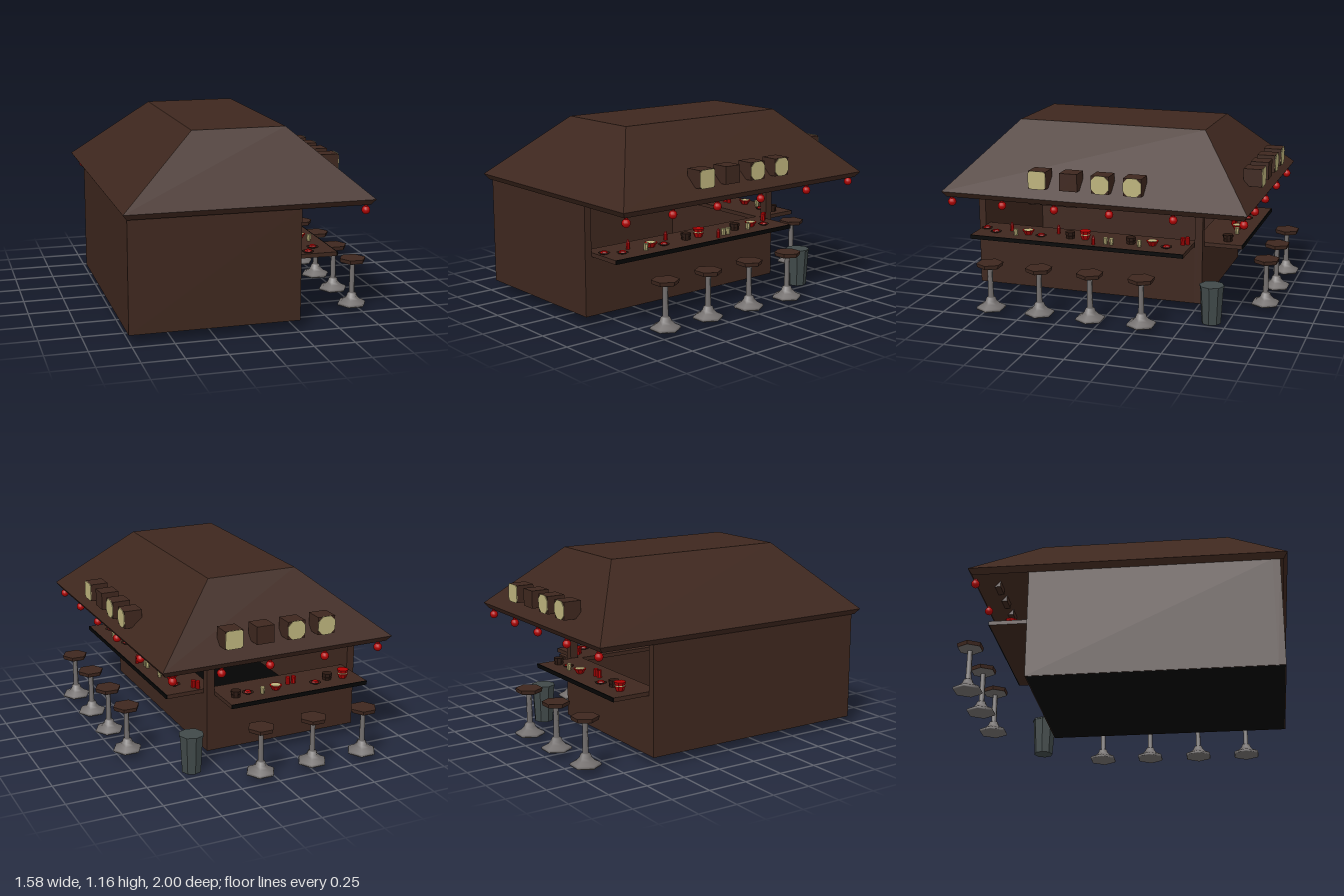
import * as THREE from 'three';

const mat = (name, color, side = THREE.FrontSide) => {
  const m = new THREE.MeshStandardMaterial({ color, side });
  m.name = name;
  return m;
};

export function createModel() {
  const root = new THREE.Group();
  root.name = 'foodStall';
  const wood = mat('dark wood', 0x3e271e, THREE.DoubleSide);
  const black = mat('black trim', 0x040404);
  const red = mat('red', 0xb30202);
  const cream = mat('cream', 0xbdb37c);
  const metal = mat('grey metal', 0x716d6c);
  const slate = mat('slate bin', 0x404949);
  const blue = mat('blue glass', 0x4fbbe2);
  const darkDish = mat('dark dish', 0x2a1811);

  const add = (parent, name, geo, material, x = 0, y = 0, z = 0) => {
    const m = new THREE.Mesh(geo, material);
    m.name = name;
    m.position.set(x, y, z);
    parent.add(m);
    return m;
  };
  // Box given by its limits on each axis
  const box = (name, material, x0, x1, y0, y1, z0, z1) =>
    add(root, name, new THREE.BoxGeometry(x1 - x0, y1 - y0, z1 - z0), material,
      (x0 + x1) / 2, (y0 + y1) / 2, (z0 + z1) / 2);
  // Faceted upright cylinder standing on y, with a corner on the x axis
  const prism = (parent, name, material, rTop, rBottom, h, sides, x, y, z) => {
    const g = new THREE.CylinderGeometry(rTop, rBottom, h, sides).toNonIndexed();
    g.rotateY(Math.PI / 2);
    g.computeVertexNormals();
    return add(parent, name, g, material, x, y + h / 2, z);
  };
  // Smooth six-sided turning from [radius, y] points, bottom to top
  const turned = (parent, name, material, points) =>
    add(parent, name, new THREE.LatheGeometry(
      points.map((p) => new THREE.Vector2(...p)), 6, Math.PI / 2), material);

  // Hut: black floor, two full walls, two low walls, corner post
  box('floor', black, -0.755, 0.265, 0.055, 0.07, -0.545, 0.95);
  box('frontWall', wood, -0.76, 0.27, 0.056, 0.74, 0.91, 0.955);
  box('closedSideWall', wood, -0.76, -0.71, 0.056, 0.74, -0.55, 0.91);
  box('lowSideWall', wood, 0.22, 0.27, 0.056, 0.42, -0.5, 0.91);
  box('lowBackWall', wood, -0.71, 0.22, 0.056, 0.42, -0.55, -0.5);
  box('cornerPost', wood, 0.22, 0.27, 0.056, 0.74, -0.55, -0.5);
  box('tankShelf', wood, -0.71, -0.46, 0.4, 0.42, 0.55, 0.91);

  // Hipped roof, open underneath: stacked rectangles joined by flat faces
  const rings = [
    [-0.765, 0.685, -0.895, 0.975, 0.735],
    [-0.79, 0.71, -0.92, 1.0, 0.77],
    [-0.31, 0.265, -0.555, 0.645, 1.165],
  ].map(([x0, x1, z0, z1, y]) => [[x0, y, z1], [x1, y, z1], [x1, y, z0], [x0, y, z0]]);
  const pos = [];
  const quad = (a, b, c, d) => pos.push(...a, ...b, ...c, ...a, ...c, ...d);
  for (let r = 0; r < 2; r++) {
    for (let i = 0; i < 4; i++) {
      const j = (i + 1) % 4;
      quad(rings[r][i], rings[r][j], rings[r + 1][j], rings[r + 1][i]);
    }
  }
  quad(...rings[2]);
  const roofGeo = new THREE.BufferGeometry();
  roofGeo.setAttribute('position', new THREE.Float32BufferAttribute(pos, 3));
  roofGeo.computeVertexNormals();
  add(root, 'roof', roofGeo, wood);
  box('roofInnerPanel', black, -0.308, 0.263, 1.153, 1.161, -0.553, 0.643);

  // Counters with black outer edges
  box('sideCounter', wood, 0.2, 0.505, 0.42, 0.445, -0.49, 0.91);
  box('sideCounterEdge', black, 0.505, 0.512, 0.42, 0.445, -0.49, 0.91);
  box('backCounter', wood, -0.71, 0.22, 0.42, 0.445, -0.785, -0.48);
  box('backCounterEdge', black, -0.71, 0.22, 0.42, 0.445, -0.792, -0.785);

  // Stools
  const stool = (x, z) => {
    const s = new THREE.Group();
    s.name = 'stool';
    s.position.set(x, 0, z);
    root.add(s);
    turned(s, 'stoolBase', metal, [[0, 0.037], [0.088, 0.037], [0.093, 0.045], [0.088, 0.055],
      [0.052, 0.073], [0.036, 0.09], [0.028, 0.112], [0.018, 0.116], [0.016, 0.306]]);
    turned(s, 'seatUnderside', metal, [[0.016, 0.3], [0.035, 0.304], [0.074, 0.31], [0.078, 0.314]]);
    prism(s, 'seat', wood, 0.084, 0.079, 0.024, 6, 0, 0.313, 0);
  };
  for (const z of [0.695, 0.37, 0.04, -0.285]) stool(0.694, z);
  for (const x of [-0.61, -0.26, 0.09]) stool(x, -0.92);

  // Bin
  prism(root, 'bin', slate, 0.074, 0.061, 0.235, 8, 0.42, 0, -0.65);
  prism(root, 'binRim', slate, 0.078, 0.078, 0.01, 8, 0.42, 0.232, -0.65);

  // Round lanterns under the eaves
  const lantern = (x, z) => {
    add(root, 'lantern', new THREE.SphereGeometry(0.026, 12, 8), red, x, 0.7, z);
    prism(root, 'lanternCap', red, 0.012, 0.012, 0.012, 8, x, 0.72, z);
  };
  for (const z of [0.95, 0.615, 0.275, -0.075, -0.47]) lantern(0.665, z);
  for (const x of [0.637, 0.333, 0.02, -0.345, -0.715]) lantern(x, -0.885);

  // Box signs on the roof, three with a cream panel; local +z faces outward
  const signRow = (name, place) => {
    for (let i = 0; i < 4; i++) {
      const g = new THREE.Group();
      g.name = name;
      place(g, i);
      root.add(g);
      add(g, 'signBox', new THREE.BoxGeometry(0.112, 0.108, 0.112), wood);
      if (i === 1) continue;
      const c = i === 0 ? 0.014 : 0.03, h = 0.056;
      const s = new THREE.Shape([[-h, c - h], [c - h, -h], [h - c, -h], [h, c - h],
        [h, h - c], [h - c, h], [c - h, h], [-h, h - c]].map((p) => new THREE.Vector2(...p)));
      add(g, 'signPanel', new THREE.ExtrudeGeometry(s, { depth: 0.004, bevelEnabled: false }),
        cream, 0, 0, 0.056);
    }
  };
  signRow('sideSign', (g, i) => {
    g.position.set(0.632, 0.882, 0.374 - 0.2 * i);
    g.rotation.y = Math.PI / 2;
  });
  signRow('backSign', (g, i) => {
    g.position.set(0.27 - 0.2 * i, 0.905, -0.865);
    g.rotation.y = Math.PI;
  });

  // Water tanks inside, flat side to the counter
  for (const z of [0.81, 0.645]) {
    prism(root, 'tank', blue, 0.067, 0.067, 0.14, 6, -0.55, 0.42, z).rotation.y = Math.PI / 6;
    prism(root, 'tankLid', blue, 0.055, 0.067, 0.014, 6, -0.55, 0.56, z).rotation.y = Math.PI / 6;
  }

  // Tableware, standing on the counter top
  const top = 0.445;
  const tableware = {
    bowl(x, z) {
      prism(root, 'bowl', red, 0.04, 0.02, 0.03, 8, x, top, z);
      prism(root, 'bowlFood', cream, 0.03, 0.03, 0.003, 8, x, top + 0.029, z);
    },
    tallBowl(x, z) {
      prism(root, 'lowerBowl', red, 0.035, 0.022, 0.03, 8, x, top, z);
      prism(root, 'bowlBand', cream, 0.032, 0.032, 0.006, 8, x, top + 0.03, z);
      prism(root, 'upperBowl', red, 0.037, 0.03, 0.02, 8, x, top + 0.036, z);
    },
    plate(x, z) {
      prism(root, 'plate', darkDish, 0.038, 0.025, 0.007, 8, x, top, z);
      prism(root, 'plateFood', red, 0.018, 0.024, 0.009, 6, x, top + 0.007, z);
    },
    pot(x, z) {
      prism(root, 'pot', darkDish, 0.03, 0.028, 0.018, 8, x, top, z);
      prism(root, 'potBand', darkDish, 0.026, 0.026, 0.005, 8, x, top + 0.018, z);
      prism(root, 'potLid', darkDish, 0.032, 0.032, 0.018, 8, x, top + 0.023, z);
    },
    bottle(x, z) {
      prism(root, 'bottle', red, 0.012, 0.012, 0.038, 8, x, top, z);
      prism(root, 'bottleNeck', red, 0.005, 0.011, 0.018, 8, x, top + 0.038, z);
    },
    jar(x, z) {
      prism(root, 'jar', red, 0.015, 0.015, 0.045, 8, x, top, z);
    },
    cup(x, z) {
      prism(root, 'cup', cream, 0.016, 0.012, 0.04, 8, x, top, z);
    },
  };
  const sideItems = [['plate', 0.34, 0.87], ['plate', 0.4, 0.78], ['bottle', 0.34, 0.695],
    ['cup', 0.43, 0.63], ['bowl', 0.39, 0.56], ['plate', 0.4, 0.47], ['bottle', 0.31, 0.385],
    ['pot', 0.38, 0.28], ['tallBowl', 0.38, 0.18], ['bottle', 0.47, 0.095], ['cup', 0.44, 0.025],
    ['cup', 0.44, -0.012], ['pot', 0.38, -0.12], ['cup', 0.43, -0.19], ['bowl', 0.38, -0.26],
    ['plate', 0.4, -0.355], ['jar', 0.31, -0.435], ['jar', 0.29, -0.46]];
  const backItems = [['tallBowl', -0.6, -0.68], ['pot', -0.5, -0.66], ['plate', -0.4, -0.69],
    ['jar', -0.28, -0.63], ['jar', -0.24, -0.63], ['bowl', -0.13, -0.68], ['cup', -0.03, -0.7],
    ['plate', 0.05, -0.66], ['pot', 0.14, -0.68]];
  for (const [kind, x, z] of [...sideItems, ...backItems]) tableware[kind](x, z);

  return root;
}
